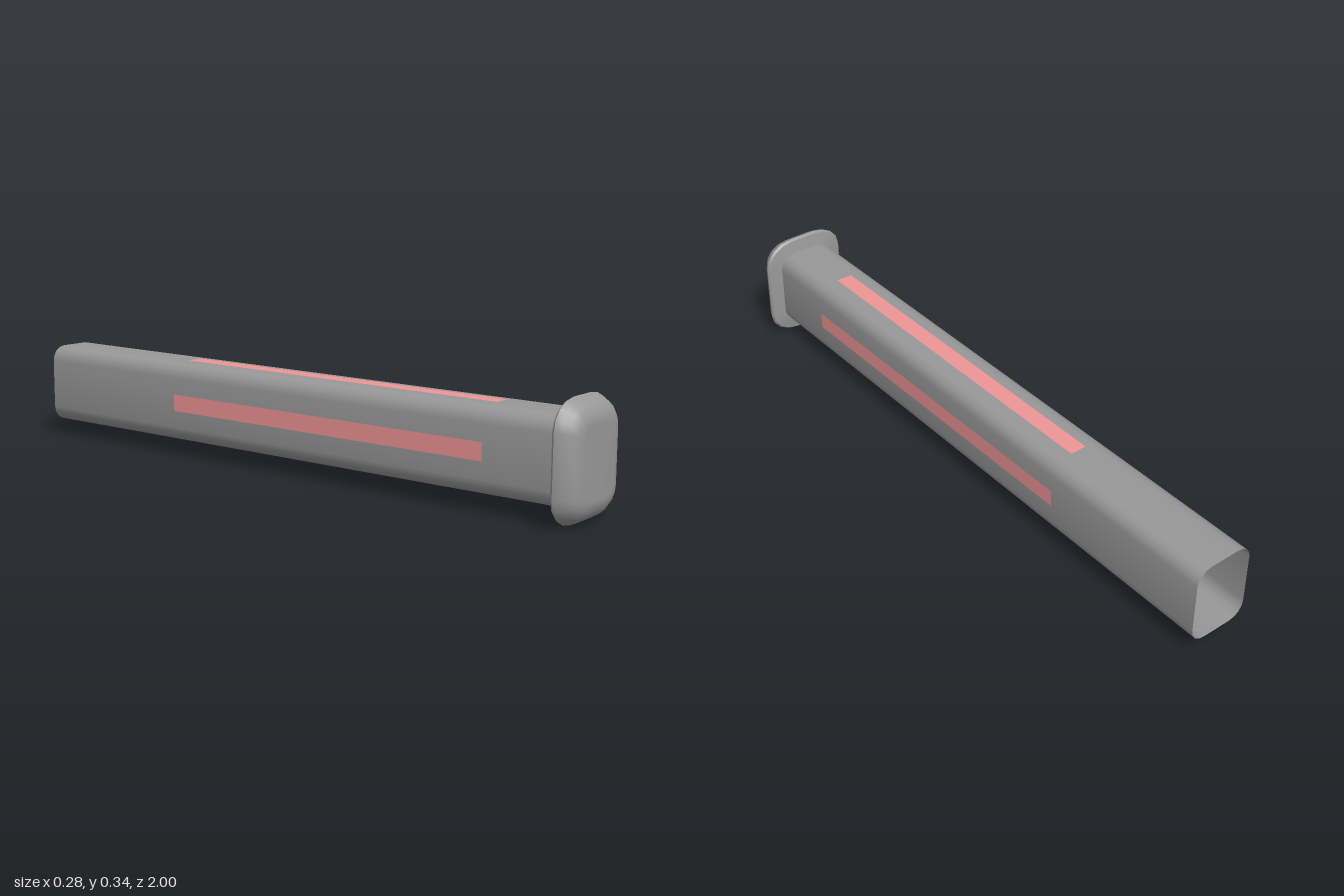
import * as THREE from 'three';
import { toCreasedNormals } from 'three/addons/utils/BufferGeometryUtils.js';

const CY = 0.17; // height of the long axis
const CORNER_STEPS = 4;

// Rounded-rectangle ring, counter-clockwise seen from the front
function ring({ z, w, h, rx, ry }) {
  const pts = [];
  for (let q = 0; q < 4; q++) {
    const sx = q === 0 || q === 3 ? 1 : -1;
    const sy = q < 2 ? 1 : -1;
    for (let i = 0; i <= CORNER_STEPS; i++) {
      const a = (q + i / CORNER_STEPS) * Math.PI / 2;
      pts.push([sx * (w - rx) + rx * Math.cos(a), CY + sy * (h - ry) + ry * Math.sin(a), z]);
    }
  }
  return pts;
}

// Skin over rings listed from front to back, with an optional flat front
function loft(sections, closedFront) {
  const rings = sections.map(ring);
  const n = rings[0].length;
  const pos = rings.flat(2);
  const index = [];
  for (let i = 0; i < rings.length - 1; i++) {
    for (let j = 0; j < n; j++) {
      const a = i * n + j, b = i * n + (j + 1) % n;
      index.push(a, a + n, b, b, a + n, b + n);
    }
  }
  if (closedFront) {
    const c = pos.length / 3;
    pos.push(0, CY, sections[0].z);
    for (let j = 0; j < n; j++) index.push(c, j, (j + 1) % n);
  }
  const geo = new THREE.BufferGeometry();
  geo.setAttribute('position', new THREE.Float32BufferAttribute(pos, 3));
  geo.setIndex(index);
  return toCreasedNormals(geo, 0.6);
}

export function createModel() {
  const model = new THREE.Group();
  const grey = new THREE.MeshStandardMaterial({ color: 0x989898, side: THREE.DoubleSide });
  const red = new THREE.MeshStandardMaterial({ color: 0xee9595, side: THREE.DoubleSide });
  const add = (name, geo, mat) => {
    const mesh = new THREE.Mesh(geo, mat);
    mesh.name = name;
    model.add(mesh);
    return mesh;
  };

  // Hollow sleeve, open at the back
  const tube = { w: 0.094, h: 0.124, rx: 0.047, ry: 0.047 };
  add('sleeve', loft([{ z: 0.93, ...tube }, { z: -1, ...tube }], false), grey);

  // Domed end cap: flat face, rounded edge, narrow rim and a nearly flat back
  add('endCap', loft([
    { z: 1.0, w: 0.07, h: 0.098, rx: 0.03, ry: 0.027 },
    { z: 1.0, w: 0.08, h: 0.108, rx: 0.04, ry: 0.035 },
    { z: 0.995, w: 0.101, h: 0.130, rx: 0.058, ry: 0.05 },
    { z: 0.98, w: 0.121, h: 0.150, rx: 0.078, ry: 0.066 },
    { z: 0.96, w: 0.134, h: 0.163, rx: 0.091, ry: 0.076 },
    { z: 0.944, w: 0.14, h: 0.17, rx: 0.097, ry: 0.08 },
    { z: 0.937, w: 0.135, h: 0.165, rx: 0.093, ry: 0.077 },
    { z: 0.929, ...tube },
  ], true), grey);

  // Coloured strip on each of the four faces
  const names = ['leftStrip', 'topStrip', 'rightStrip', 'bottomStrip'];
  names.forEach((name, i) => {
    const geo = new THREE.PlaneGeometry(1.14, 0.052).rotateY(Math.PI / 2); // faces +x, runs along z
    geo.translate((i % 2 ? tube.h : tube.w) + 0.001, 0, 0);
    const strip = add(name, geo, red);
    strip.rotation.z = i * Math.PI / 2;
    strip.position.set(0, CY, 0.131);
  });
  return model;
}
